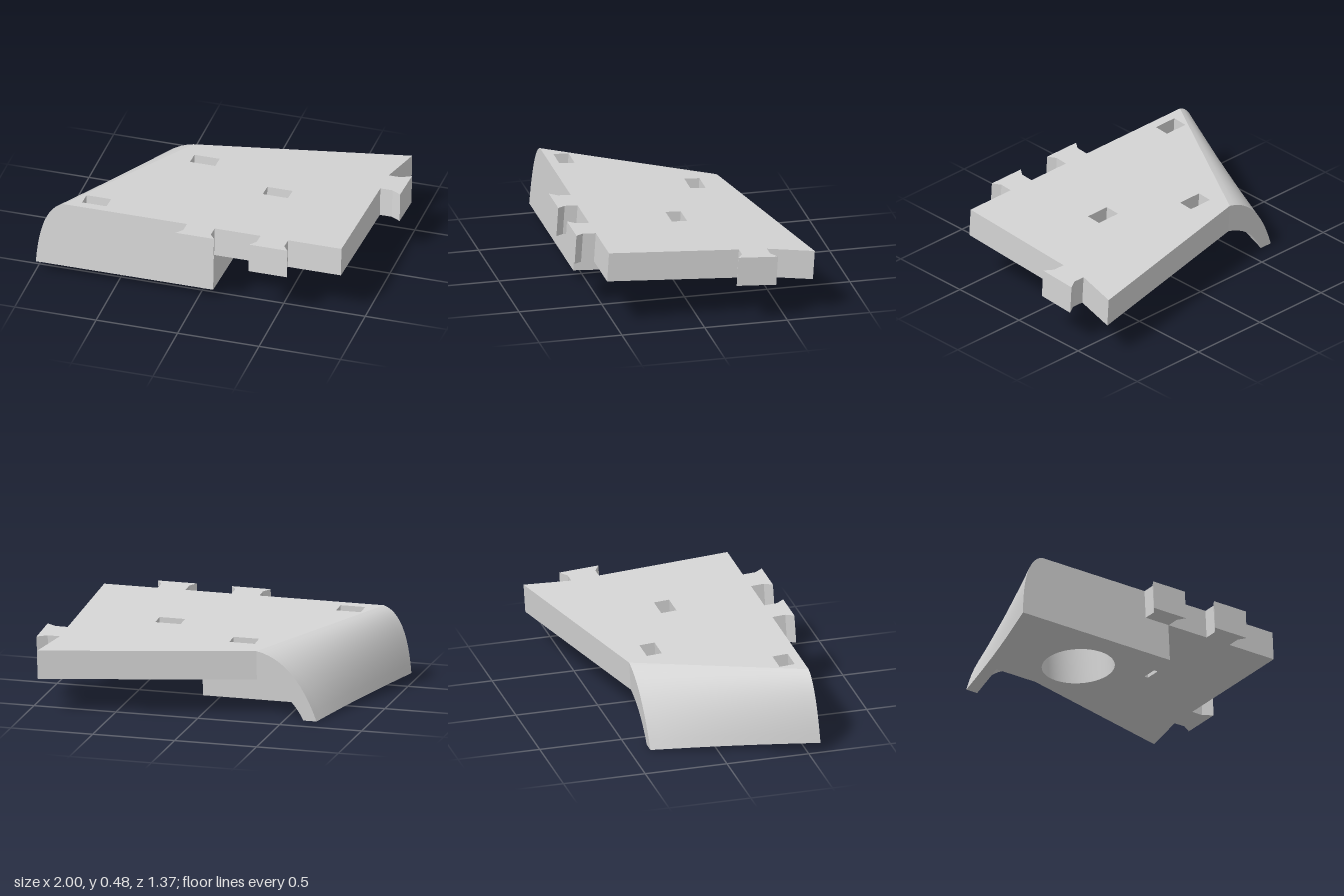
import * as THREE from 'three';
import { toCreasedNormals } from 'three/addons/utils/BufferGeometryUtils.js';

const PLATE = 0.177;   // plate thickness
const DEPTH = 0.41;    // full depth, top face to block underside
const BACK = -0.405, FRONT = 0.547, BLOCK_BACK = -0.105;
const RIM = 0.08;      // thickness of the curved wall at its lower edge

const lerp = THREE.MathUtils.lerp;
const along = (z) => (z - BACK) / (FRONT - BACK);
// Where the curved wall starts on the top face, and where it ends below
const topX = (z) => lerp(-0.33, -0.84, along(z));
const lowX = (z) => lerp(-0.69, -1, along(z)) + 0.012 * Math.sin(Math.PI * along(z));

// Outline points are [x, z]
const toPoints = (list) => list.map(([x, z]) => new THREE.Vector2(x, -z));
const rect = (x0, x1, z0, z1) => [[x0, z0], [x1, z0], [x1, z1], [x0, z1]];
const rectHole = (r) => new THREE.Path(toPoints(rect(...r)));

// Upright slab with holes between two heights; outlines run clockwise from above
function slab(outline, holes, bottom, top) {
  const shape = new THREE.Shape(toPoints(outline).reverse());
  shape.holes = holes;
  const geo = new THREE.ExtrudeGeometry(shape, { depth: top - bottom, bevelEnabled: false, curveSegments: 48 });
  geo.rotateX(-Math.PI / 2);
  geo.translate(0, bottom, 0);
  return toCreasedNormals(geo, 0.5);
}

// Closed cross-section of the curved wall at one z, counterclockwise
function wallSection(z) {
  const t = along(z), xt = topX(z), xl = lowX(z), n = 12;
  const bend = lerp(0.66, 0.88, t);
  const curve = (x0, y0, x1, y1, s, h) => new THREE.QuadraticBezierCurve(
    new THREE.Vector2(x0, y0),
    new THREE.Vector2(lerp(x0, x1, s), lerp(y0, y1, h)),
    new THREE.Vector2(x1, y1)).getPoints(n);
  const outer = curve(xt, 0, xl, -DEPTH, bend, 0.11);
  const inner = curve(xt, -PLATE, xl + RIM, -DEPTH, 0.68, 0.2).reverse();
  return [...outer, ...inner];
}

// Loft of the wall sections from back to front, with end caps
function wallGeometry() {
  const steps = 16, pos = [], index = [];
  let count = 0;
  for (let k = 0; k <= steps; k++) {
    const z = lerp(BACK, FRONT, k / steps);
    const section = wallSection(z);
    count = section.length;
    section.forEach((p) => pos.push(p.x, p.y, z));
  }
  for (let k = 0; k < steps; k++) {
    for (let i = 0; i < count; i++) {
      const j = (i + 1) % count;
      const a = k * count + i, b = k * count + j;
      index.push(a, b, b + count, a, b + count, a + count);
    }
  }
  const cap = (z, base, flip) => THREE.ShapeUtils.triangulateShape(wallSection(z), [])
    .forEach(([a, b, c]) => index.push(base + a, base + (flip ? c : b), base + (flip ? b : c)));
  cap(BACK, 0, true);
  cap(FRONT, steps * count, false);
  const geo = new THREE.BufferGeometry();
  geo.setAttribute('position', new THREE.Float32BufferAttribute(pos, 3));
  geo.setIndex(index);
  return toCreasedNormals(geo, 0.5);
}

export function createModel() {
  const grey = new THREE.MeshStandardMaterial({ color: 0xd4d4d4 });
  grey.name = 'light grey';
  const model = new THREE.Group();
  model.name = 'interlockingPlate';
  const body = new THREE.Group();
  body.name = 'tiltedBody';
  body.rotation.x = -0.0642;
  body.position.y = 0.435;
  model.add(body);
  const add = (name, geo) => {
    const mesh = new THREE.Mesh(geo, grey);
    mesh.name = name;
    body.add(mesh);
  };

  // Flared tabs on the front edge, listed from right to left
  const frontTab = (x) => [
    [x + 0.085, FRONT], [x + 0.085, 0.625], [x + 0.118, 0.672],
    [x - 0.118, 0.672], [x - 0.085, 0.625], [x - 0.085, FRONT]];
  const outline = [
    [topX(BACK), BACK], [0.928, -0.685], [0.868, -0.41],
    // side tab
    [0.942, -0.41], [1, -0.445], [1, -0.205], [0.942, -0.24], [0.868, -0.24],
    [0.868, FRONT], ...frontTab(0.456), ...frontTab(0.005),
    [topX(FRONT), FRONT]];
  const cornerSlot = [-0.741, -0.591, 0.398, 0.491];
  add('plate', slab(outline, [
    rectHole([-0.286, -0.131, -0.283, -0.191]),
    rectHole([0.234, 0.389, -0.043, 0.05]),
    rectHole(cornerSlot)], -PLATE, 0));

  // Block below the plate with a round socket, closed at the top by the plate
  const blockLeft = [0, 0.25, 0.5, 0.75, 1].map((t) => {
    const z = lerp(FRONT, BLOCK_BACK, t);
    return [lowX(z) + RIM, z];
  });
  const socket = new THREE.Path();
  socket.absarc(-0.317, -0.19, 0.215, 0, Math.PI * 2, true);
  add('block', slab(
    [[0.088, BLOCK_BACK], [0.088, FRONT], ...blockLeft],
    [socket, rectHole(cornerSlot)], -DEPTH, -PLATE));

  // Floor closing the corner slot
  add('slotFloor', slab(rect(...cornerSlot), [], -DEPTH, -0.37));

  add('curvedWall', wallGeometry());
  return model;
}
